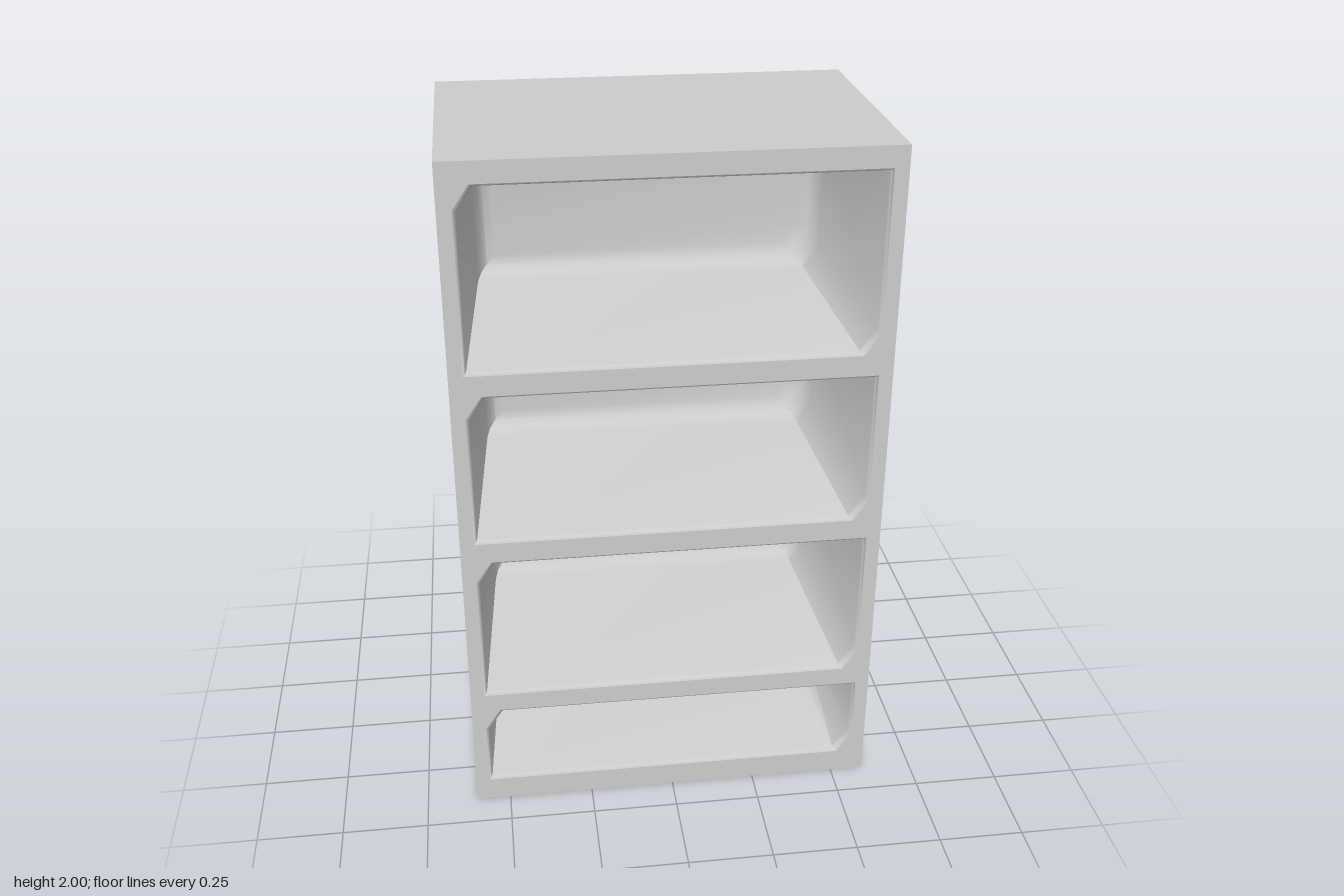
import * as THREE from 'three';
import { toCreasedNormals } from 'three/addons/utils/BufferGeometryUtils.js';

const W = 1.2, H = 2, D = 0.8;
const MOUTH_X = 0.56;
// Bottom and top of each bay's mouth
const BAYS = [[0.07, 0.33], [0.385, 0.845], [0.905, 1.36], [1.42, 1.94]];
// Depth profile of a bay: [z, inset from the mouth], soft lip, taper, soft back corner
const PROFILE = [
  [0.4, 0], [0.396, 0.005], [0.385, 0.009], [-0.15, 0.052],
  [-0.19, 0.062], [-0.215, 0.08], [-0.222, 0.105],
];

// Bay outline, counter-clockwise, with two opposite corners cut
function outline([y0, y1], inset) {
  const x = MOUTH_X - inset, b = y0 + inset, t = y1 - inset;
  const cx = 0.045, cy = Math.min(0.065, (t - b) * 0.4);
  return [[-x, b], [x - cx, b], [x, b + cy], [x, t], [-x + cx, t], [-x, t - cy]];
}

// Recessed bay lofted through the depth profile and closed at the back
function bayGeometry(bay) {
  const pos = [], index = [], n = 6;
  for (const [z, inset] of PROFILE)
    for (const [x, y] of outline(bay, inset)) pos.push(x, y, z);
  for (let r = 0; r < PROFILE.length - 1; r++)
    for (let i = 0; i < n; i++) {
      const a = r * n + i, b = r * n + (i + 1) % n;
      index.push(a, b, b + n, a, b + n, a + n);
    }
  const last = (PROFILE.length - 1) * n;
  for (let i = 1; i < n - 1; i++) index.push(last, last + i, last + i + 1);
  const g = new THREE.BufferGeometry();
  g.setAttribute('position', new THREE.Float32BufferAttribute(pos, 3));
  g.setIndex(index);
  return toCreasedNormals(g, 0.95);
}

// Front face with an opening for every bay
function frameGeometry() {
  const shape = new THREE.Shape([[-W / 2, 0], [W / 2, 0], [W / 2, H], [-W / 2, H]]
    .map(([x, y]) => new THREE.Vector2(x, y)));
  for (const bay of BAYS)
    shape.holes.push(new THREE.Path(outline(bay, 0).reverse()
      .map(([x, y]) => new THREE.Vector2(x, y))));
  return new THREE.ShapeGeometry(shape).translate(0, 0, D / 2);
}

// Outer case without its front side
function caseGeometry() {
  const g = new THREE.BoxGeometry(W, H, D).translate(0, H / 2, 0);
  const idx = Array.from(g.index.array);
  idx.splice(24, 6);
  g.setIndex(idx);
  g.clearGroups();
  return g;
}

export function createModel() {
  const group = new THREE.Group();
  group.name = 'shelfCabinet';
  const material = new THREE.MeshStandardMaterial({ color: 0xcccccc });
  const add = (name, geometry) => {
    const mesh = new THREE.Mesh(geometry, material);
    mesh.name = name;
    group.add(mesh);
  };
  add('outerCase', caseGeometry());
  add('frontFrame', frameGeometry());
  BAYS.forEach((bay, i) => add(`shelfBay${i + 1}`, bayGeometry(bay)));
  return group;
}
